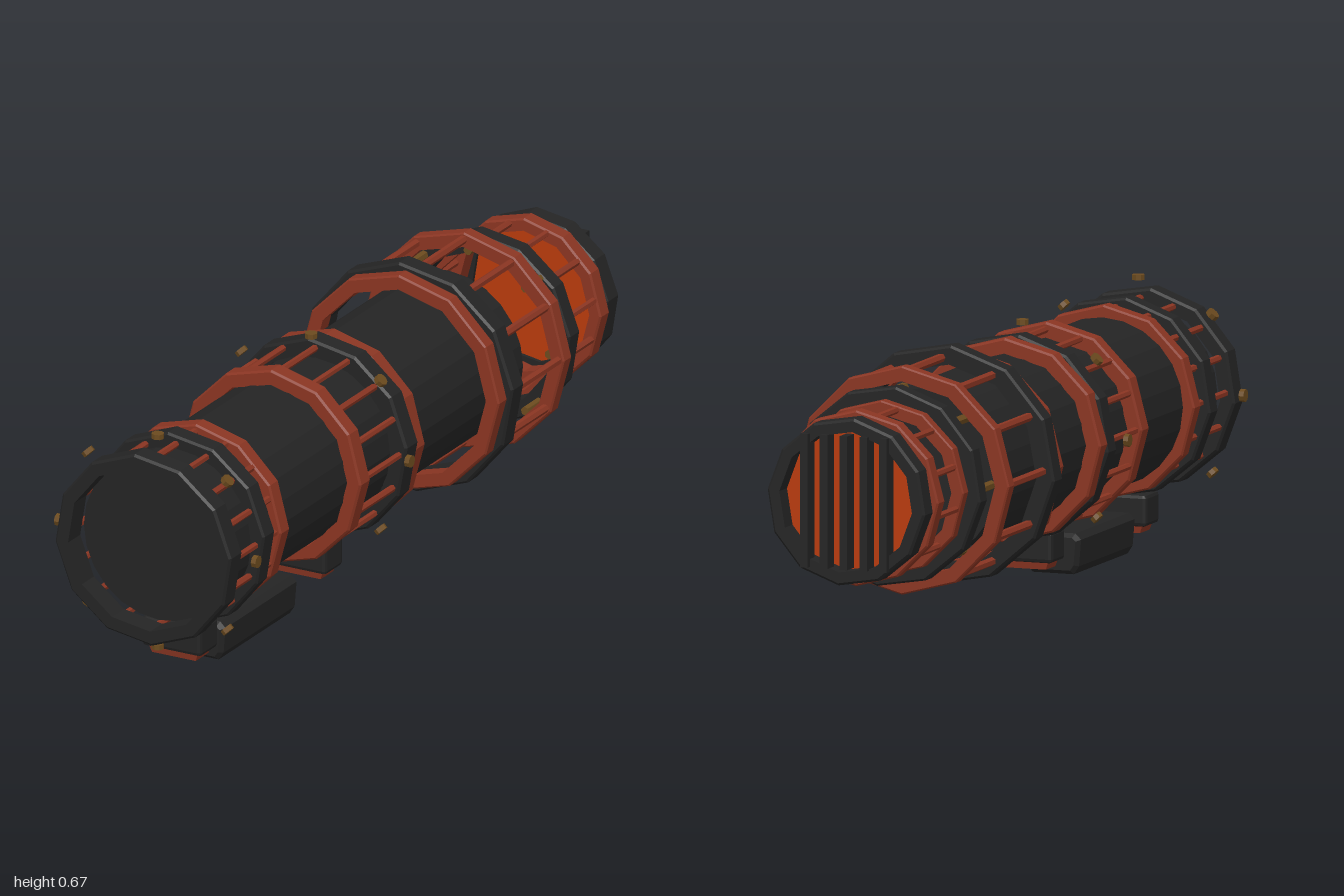
import * as THREE from 'three';
import { RoundedBoxGeometry } from 'three/addons/geometries/RoundedBoxGeometry.js';

const AXIS = 0.375; // height of the barrel axis

function material(name, color, options = {}) {
  const m = new THREE.MeshStandardMaterial({ color, flatShading: true, ...options });
  m.name = name;
  return m;
}

export function createModel() {
  const iron = material('dark iron', 0x242424);
  const rust = material('rusty red', 0x8a3522);
  const brass = material('aged brass', 0x6b4a1e);
  const glow = material('ember orange', 0xb83a0c, { side: THREE.DoubleSide });

  const model = new THREE.Group();
  model.name = 'barrelDevice';
  const barrel = new THREE.Group();
  barrel.name = 'barrel';
  barrel.position.y = AXIS;
  model.add(barrel);

  const add = (parent, name, geometry, mat, x = 0, y = 0, z = 0) => {
    const mesh = new THREE.Mesh(geometry, mat);
    mesh.name = name;
    mesh.position.set(x, y, z);
    parent.add(mesh);
    return mesh;
  };

  // Twelve-sided hoop around the z axis, from z0 to z1
  function hoop(name, mat, outer, inner, z0, z1, turn = 0) {
    const h = (z1 - z0) / 2;
    const c = h * 0.2;
    const profile = [[inner, -h], [outer - c, -h], [outer, -h + c], [outer, h - c], [outer - c, h], [inner, h], [inner, -h]]
      .map(([r, y]) => new THREE.Vector2(r, y));
    const geometry = new THREE.LatheGeometry(profile, 12).toNonIndexed();
    geometry.computeVertexNormals();
    geometry.rotateX(Math.PI / 2);
    geometry.rotateZ(turn);
    add(barrel, name, geometry, mat, 0, 0, (z0 + z1) / 2);
  }

  // Ring of rods parallel to the axis
  function rods(name, mat, count, radius, thick, z0, z1, offset = 0) {
    const group = new THREE.Group();
    group.name = name;
    const geometry = new THREE.CylinderGeometry(thick, thick, z1 - z0, 6).rotateX(Math.PI / 2);
    for (let i = 0; i < count; i++) {
      const a = offset + (i / count) * Math.PI * 2;
      add(group, 'rod', geometry, mat, Math.cos(a) * radius, Math.sin(a) * radius, (z0 + z1) / 2).rotation.z = a;
    }
    barrel.add(group);
  }

  // Ring of short bolts pointing outwards
  function bolts(z) {
    const group = new THREE.Group();
    group.name = 'boltRing';
    const geometry = new THREE.CylinderGeometry(0.016, 0.016, 0.013, 8).rotateZ(Math.PI / 2);
    for (let i = 0; i < 8; i++) {
      const a = (i / 8) * Math.PI * 2;
      add(group, 'bolt', geometry, brass, Math.cos(a) * 0.276, Math.sin(a) * 0.276, z).rotation.z = a;
    }
    barrel.add(group);
  }

  // Main tube
  add(barrel, 'mainTube', new THREE.CylinderGeometry(0.21, 0.21, 1.425, 24).rotateX(Math.PI / 2), iron, 0, 0, 0.2075);

  // Front cage
  hoop('frontRim', iron, 0.248, 0.21, 0.94, 1, 0.1);
  hoop('frontCageHoop', rust, 0.24, 0.205, 0.695, 0.74);
  hoop('frontBand', iron, 0.248, 0.205, 0.78, 0.835, 0.1);
  rods('frontCageRods', rust, 16, 0.222, 0.009, 0.72, 0.945);
  bolts(0.925);

  // Middle cage
  hoop('middleCageHoop', rust, 0.253, 0.215, 0.05, 0.1);
  hoop('middleCageHoop', rust, 0.253, 0.215, 0.32, 0.37);
  hoop('middleBand', iron, 0.257, 0.21, 0.09, 0.15, 0.08);
  rods('middleCageRods', rust, 16, 0.235, 0.009, 0.1, 0.33);
  bolts(0.17);

  // Large rear cage
  hoop('rearCageHoop', rust, 0.282, 0.245, -0.302, -0.26);
  hoop('rearCageHoop', rust, 0.282, 0.245, -0.62, -0.58);
  hoop('rearBand', iron, 0.297, 0.25, -0.36, -0.302, 0.08);
  rods('rearCageRods', rust, 12, 0.265, 0.011, -0.6, -0.28);

  // Brass collar between the rear cages
  hoop('collar', iron, 0.248, 0.2, -0.722, -0.67, 0.1);
  rods('collarPins', brass, 8, 0.228, 0.012, -0.7, -0.6);

  // Tail cage
  hoop('tailCageHoop', rust, 0.217, 0.185, -0.755, -0.72);
  hoop('tailCageHoop', rust, 0.217, 0.185, -0.92, -0.875);
  rods('tailCageRods', rust, 12, 0.2, 0.009, -0.89, -0.74, 0.2);

  // Tail vent: rim, glowing disc and vertical slats
  hoop('ventRim', iron, 0.208, 0.175, -0.985, -0.925, 0.1);
  add(barrel, 'ventGlow', new THREE.CircleGeometry(0.182, 12), glow, 0, 0, -0.935);
  for (let i = -2; i <= 2; i++) {
    add(barrel, 'ventSlat', new THREE.BoxGeometry(0.02, 0.33, 0.045), iron, i * 0.052, 0, -0.9775);
  }

  // Feet under the barrel, each with a red pad
  for (const z of [0.815, 0.2]) {
    add(model, 'foot', new RoundedBoxGeometry(0.166, 0.08, 0.09, 1, 0.01), iron, 0, 0.1, z);
    const pad = new THREE.CylinderGeometry(0.07, 0.062, 0.022, 4, 1).rotateY(Math.PI / 4);
    pad.scale(1.4, 1, 0.7);
    add(model, 'footPad', pad, rust, 0, 0.054, z);
  }

  // Grip block with a bevelled, tapering section
  const s = new THREE.Shape([[-0.05, 0.01], [0.05, 0.01], [0.06, 0.025], [0.065, 0.085], [0.055, 0.095], [-0.055, 0.095], [-0.065, 0.085], [-0.06, 0.025]]
    .map(([x, y]) => new THREE.Vector2(x, y)));
  const grip = new THREE.ExtrudeGeometry(s, { depth: 0.35, bevelEnabled: true, bevelSize: 0.01, bevelThickness: 0.012, bevelOffset: -0.002, bevelSegments: 1 });
  add(model, 'grip', grip, iron, 0, 0, 0.37);

  return model;
}
